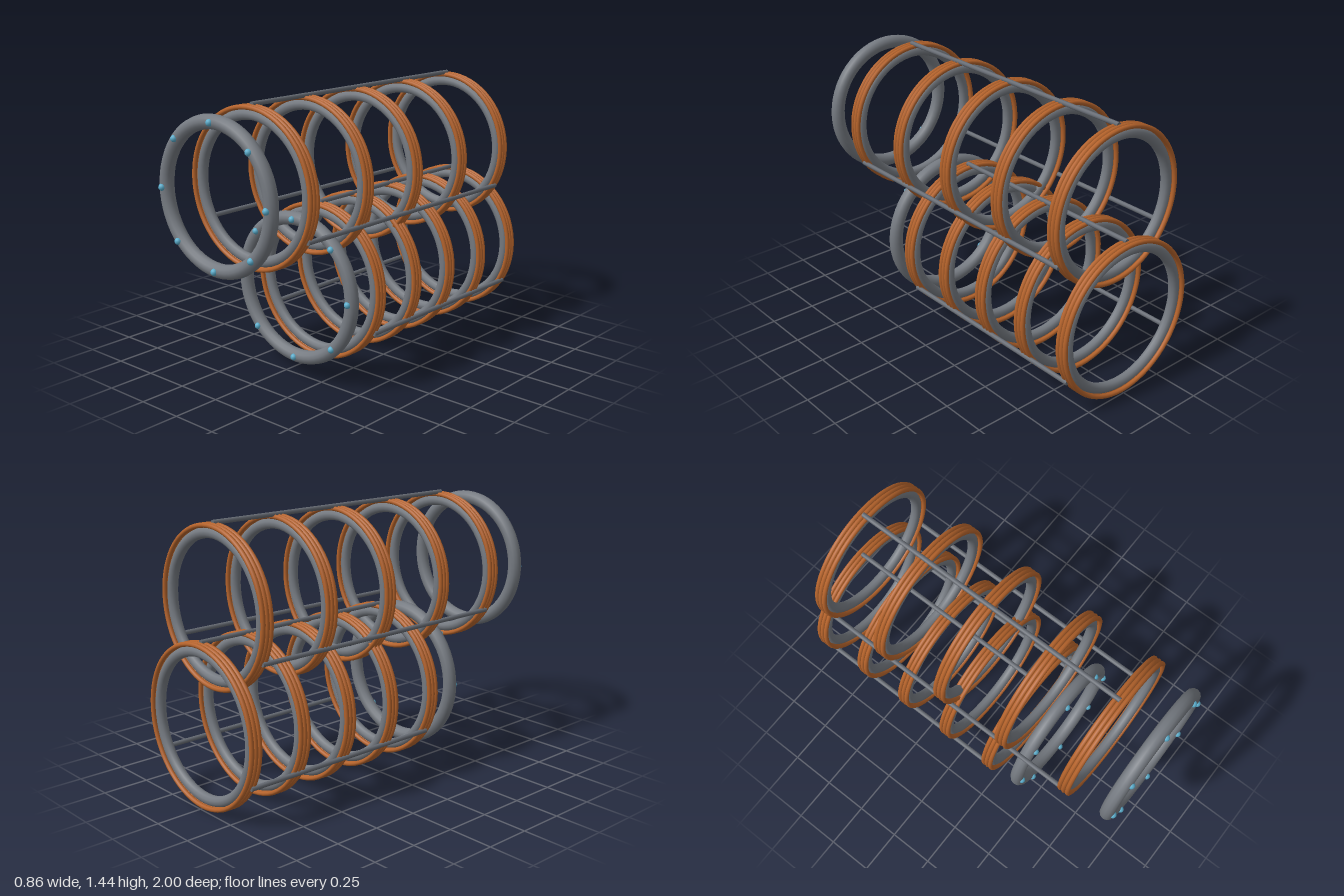
import * as THREE from 'three';

const mat = (name, color) => {
  const m = new THREE.MeshStandardMaterial({ color });
  m.name = name;
  return m;
};

export function createModel() {
  const steel = mat('steel grey', 0x757a81);
  const rodSteel = mat('rod grey', 0x666b73);
  const copper = mat('copper', 0xb5632b);
  const blue = mat('stud blue', 0x5aaccb);

  const add = (parent, name, geometry, material, x = 0, y = 0, z = 0) => {
    const mesh = new THREE.Mesh(geometry, material);
    mesh.name = name;
    mesh.position.set(x, y, z);
    parent.add(mesh);
    return mesh;
  };

  // One tunnel: a studded mouth ring, five wound coils and three long rods
  function tunnel(name, y, radius, ringZ, firstZ, lastZ) {
    const group = new THREE.Group();
    group.name = name;
    group.position.y = y;

    // Mouth ring with eight studs on its front
    add(group, 'mouthRing', new THREE.TorusGeometry(radius, 0.037, 12, 64), steel, 0, 0, ringZ);
    const stud = new THREE.SphereGeometry(0.018, 14, 10);
    for (let i = 0; i < 8; i++) {
      const a = (i * Math.PI) / 4;
      add(group, 'stud', stud, blue, radius * Math.cos(a), radius * Math.sin(a), ringZ + 0.033);
    }

    // Coils: a grey core wrapped by three copper windings
    const core = new THREE.TorusGeometry(radius + 0.004, 0.028, 10, 64);
    const winding = new THREE.TorusGeometry(radius + 0.041, 0.0125, 8, 64);
    for (let i = 0; i < 5; i++) {
      const coil = new THREE.Group();
      coil.name = 'coil';
      coil.position.z = firstZ + ((lastZ - firstZ) * i) / 4;
      add(coil, 'coilCore', core, steel);
      for (const dz of [-0.0235, 0, 0.0235]) add(coil, 'winding', winding, copper, 0, 0, dz);
      group.add(coil);
    }

    // Rods along the outside of the coils
    const rod = new THREE.CylinderGeometry(0.0125, 0.0125, firstZ - lastZ, 10);
    rod.rotateX(Math.PI / 2);
    for (let i = 0; i < 3; i++) {
      const a = Math.PI / 2 + (i * Math.PI * 2) / 3;
      const r = radius + 0.054;
      add(group, 'rod', rod, rodSteel, r * Math.cos(a), r * Math.sin(a), (firstZ + lastZ) / 2);
    }
    return group;
  }

  const model = new THREE.Group();
  model.name = 'coilTunnels';
  model.add(tunnel('upperTunnel', 1.02, 0.362, 0.948, 0.71, -0.87));
  model.add(tunnel('lowerTunnel', 0.434, 0.376, 0.41, 0.23, -0.963));
  return model;
}
